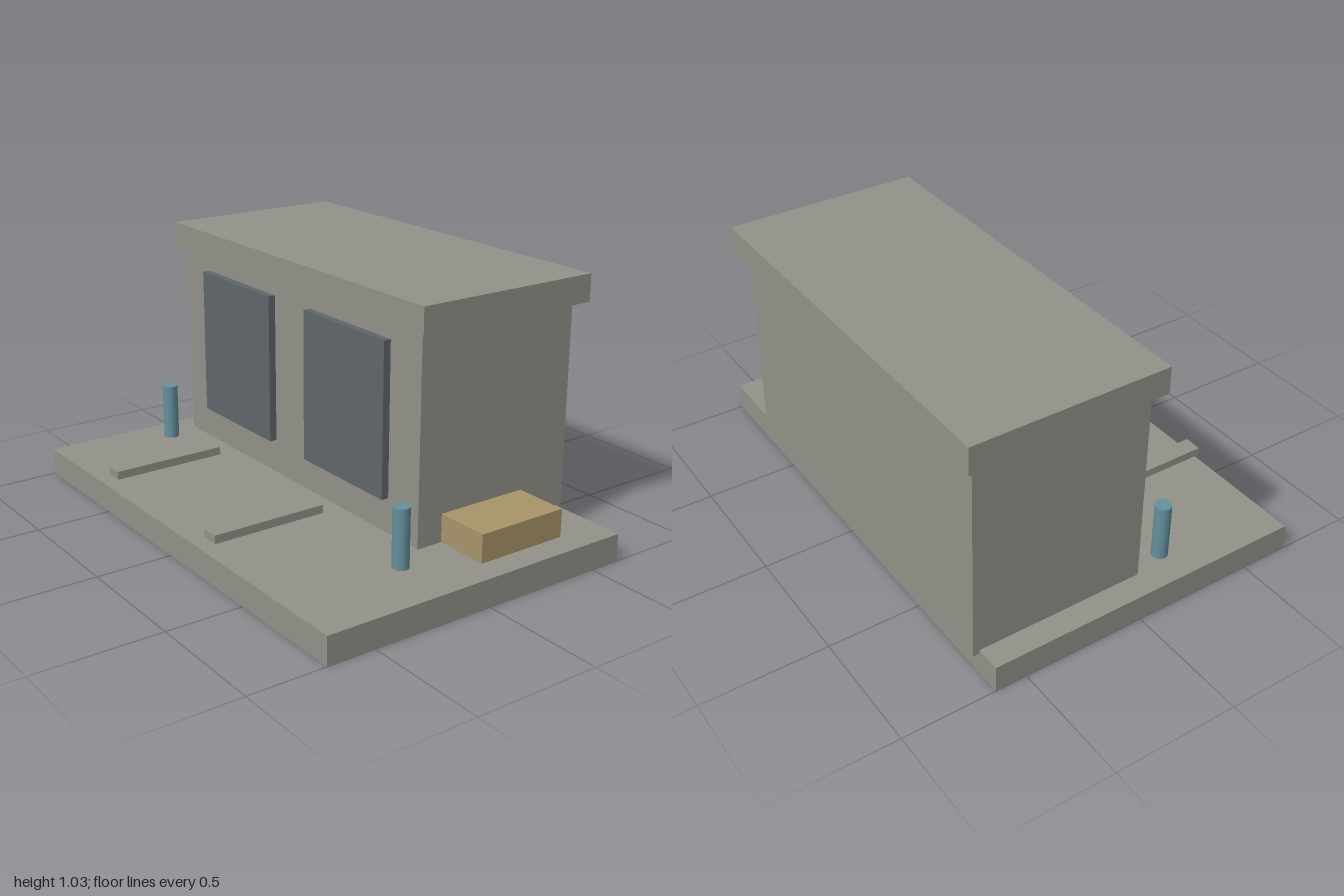
import * as THREE from 'three';

const makeMaterial = (name, color) => {
  const m = new THREE.MeshStandardMaterial({ color });
  m.name = name;
  return m;
};

export function createModel() {
  const model = new THREE.Group();
  model.name = 'utilityShed';

  const concrete = makeMaterial('concreteGrey', 0x929289);
  const steel = makeMaterial('darkSteel', 0x60666c);
  const bluePaint = makeMaterial('bluePaint', 0x64909c);
  const wood = makeMaterial('tanWood', 0xa8946a);

  // Box given by its extents along each axis
  const addBox = (name, material, [x0, x1], [y0, y1], [z0, z1]) => {
    const mesh = new THREE.Mesh(new THREE.BoxGeometry(x1 - x0, y1 - y0, z1 - z0), material);
    mesh.position.set((x0 + x1) / 2, (y0 + y1) / 2, (z0 + z1) / 2);
    mesh.name = name;
    model.add(mesh);
  };

  // Slab, building and overhanging roof
  addBox('baseSlab', concrete, [-1, 1], [0, 0.11], [-0.627, 0.693]);
  addBox('buildingBody', concrete, [-0.9, 0.675], [0.095, 0.922], [-0.653, 0.06]);
  addBox('roof', concrete, [-0.945, 0.722], [0.922, 1.03], [-0.693, 0.095]);

  // Two door panels, each with a rail running out in front
  for (const [side, x] of [['right', -0.481], ['left', 0.253]]) {
    addBox(side + 'Door', steel, [x - 0.248, x + 0.248], [0.25, 0.856], [0.06, 0.09]);
    addBox(side + 'Rail', concrete, [x - 0.036, x + 0.036], [0.151, 0.184], [0.2, 0.673]);
  }

  // Bollards at the front corners
  for (const [side, x] of [['right', -0.855], ['left', 0.75]]) {
    const bollard = new THREE.Mesh(new THREE.CylinderGeometry(0.032, 0.032, 0.232, 20), bluePaint);
    bollard.position.set(x, 0.226, 0.198);
    bollard.name = side + 'Bollard';
    model.add(bollard);
  }

  // Crate beside the building
  addBox('crate', wood, [0.675, 0.895], [0.11, 0.222], [-0.435, -0.05]);

  return model;
}
